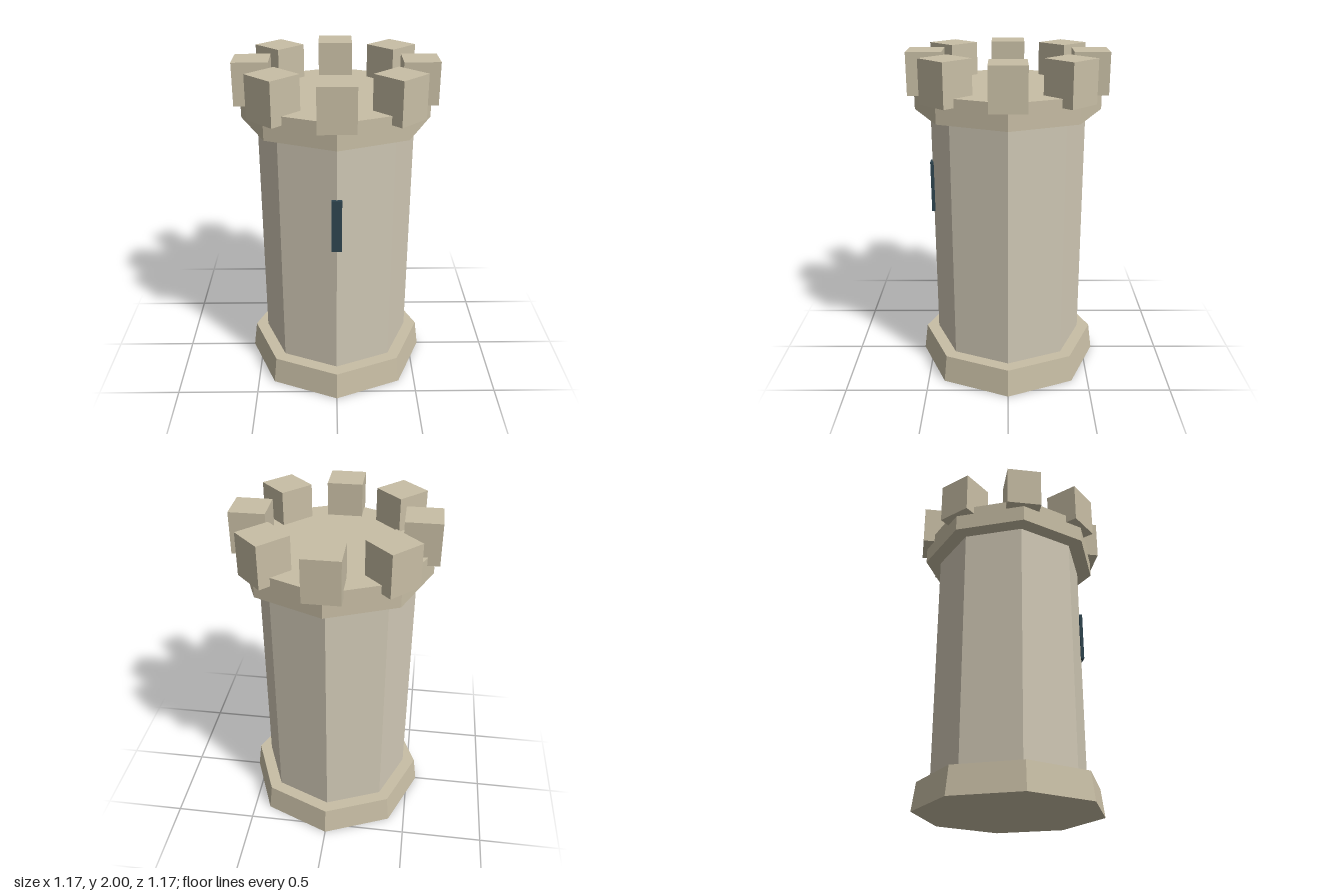
import * as THREE from 'three';

const material = (color) => new THREE.MeshStandardMaterial({ color, flatShading: true });

export function createModel() {
  const tower = new THREE.Group();
  tower.name = 'tower';
  const trim = material(0xc8bea5);
  const wall = material(0xd0c8b5);
  const dark = material(0x2f4550);

  const add = (name, geometry, mat, x, y, z) => {
    const mesh = new THREE.Mesh(geometry, mat);
    mesh.name = name;
    mesh.position.set(x, y, z);
    tower.add(mesh);
    return mesh;
  };

  // Octagonal section between two heights, a corner facing the front
  const section = (name, mat, rTop, rBottom, y0, y1) =>
    add(name, new THREE.CylinderGeometry(rTop, rBottom, y1 - y0, 8), mat, 0, (y0 + y1) / 2, 0);

  section('base', trim, 0.543, 0.565, 0, 0.17);
  section('shaft', wall, 0.465, 0.465, 0.17, 1.65);
  section('parapet', trim, 0.559, 0.559, 1.65, 1.8);

  // Ring of battlement blocks, one over each corner
  const block = new THREE.BoxGeometry(0.208, 0.25, 0.208);
  for (let i = 0; i < 8; i++) {
    const a = (i * Math.PI) / 4;
    add('merlon', block, trim, Math.sin(a) * 0.483, 1.875, Math.cos(a) * 0.483).rotation.y = a;
  }

  // Narrow window on the front corner
  add('arrowSlit', new THREE.BoxGeometry(0.06, 0.32, 0.02), dark, 0, 1.165, 0.467);

  return tower;
}
